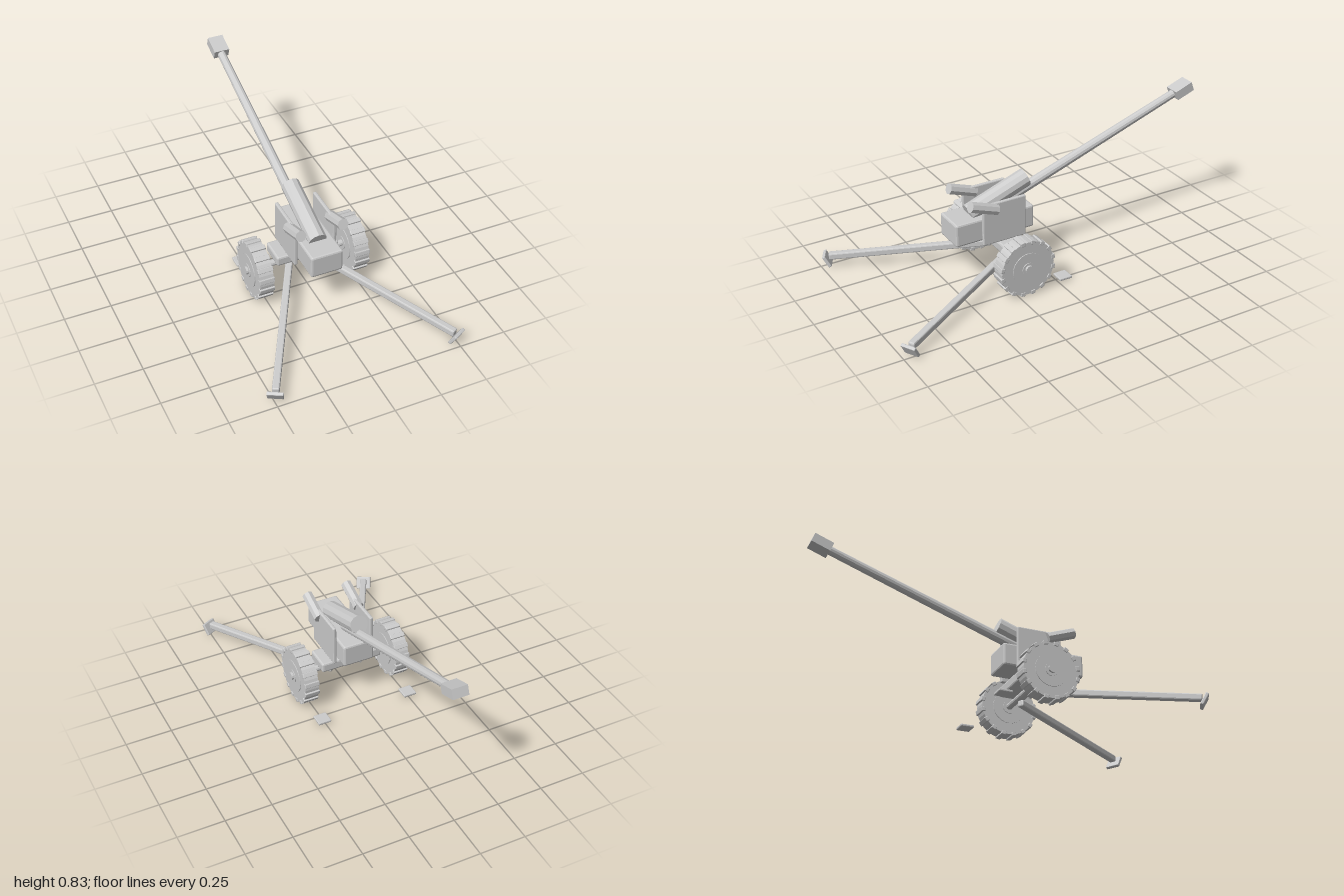
import * as THREE from 'three';
import { RoundedBoxGeometry } from 'three/addons/geometries/RoundedBoxGeometry.js';

const material = new THREE.MeshStandardMaterial({ color: 0xcccccc, flatShading: true });

function add(parent, name, geometry, x = 0, y = 0, z = 0) {
  const mesh = new THREE.Mesh(geometry, material);
  mesh.name = name;
  mesh.position.set(x, y, z);
  parent.add(mesh);
  return mesh;
}

// Box with chamfered edges
const chamferBox = (w, h, d, r) => new RoundedBoxGeometry(w, h, d, 1, r);

// Cylinder lying along x
const axialDisc = (r, length, sides) => new THREE.CylinderGeometry(r, r, length, sides).rotateZ(Math.PI / 2);

// Part whose z axis runs from point a to point b; make(length) returns its geometry
function span(parent, name, a, b, make) {
  const from = new THREE.Vector3(...a), to = new THREE.Vector3(...b);
  const mid = from.clone().lerp(to, 0.5);
  const mesh = add(parent, name, make(from.distanceTo(to)), mid.x, mid.y, mid.z);
  mesh.lookAt(to);
  return mesh;
}

// Cylinder along z, radius r0 at its start and r1 at its end
const tube = (r0, r1, sides) => (length) =>
  new THREE.CylinderGeometry(r1, r0, length, sides).rotateX(Math.PI / 2);

function createWheel(side) {
  const wheel = new THREE.Group();
  wheel.name = side > 0 ? 'leftWheel' : 'rightWheel';
  wheel.position.set(side * 0.27, 0.161, 0.2);
  add(wheel, 'tyre', axialDisc(0.152, 0.078, 32));
  add(wheel, 'rimDisc', axialDisc(0.09, 0.086, 24));
  add(wheel, 'hub', axialDisc(0.036, 0.094, 16));
  // Tread blocks around the rim
  const count = 16;
  for (let i = 0; i < count; i++) {
    const angle = ((i + 0.5) / count) * Math.PI * 2;
    const block = add(wheel, 'treadBlock', chamferBox(0.084, 0.022, 0.026, 0.003),
      0, Math.cos(angle) * 0.149, Math.sin(angle) * 0.149);
    block.rotation.x = angle;
  }
  return wheel;
}

function createTrail(side) {
  const trail = new THREE.Group();
  trail.name = side > 0 ? 'leftTrail' : 'rightTrail';
  span(trail, 'trailLeg', [side * 0.08, 0.129, 0.2], [side * 0.49, 0.06, 0.955],
    (length) => chamferBox(0.037, 0.037, length, 0.007));
  // Spade plate leaning outwards at the end of the leg
  const spade = add(trail, 'spade', chamferBox(0.082, 0.07, 0.018, 0.004), side * 0.495, 0.042, 0.962);
  spade.rotation.set(0.52, side * 0.5, 0, 'YXZ');
  return trail;
}

export function createModel() {
  const model = new THREE.Group();
  model.name = 'fieldGun';

  // Gun: barrel, muzzle brake and recoil housing
  span(model, 'barrel', [0, 0.39, 0.2], [0, 0.77, -0.9], tube(0.028, 0.023, 12));
  span(model, 'muzzleBrake', [0, 0.767, -0.89], [0, 0.804, -0.991],
    (length) => new THREE.BoxGeometry(0.086, 0.052, length));
  span(model, 'recoilHousing', [0, 0.383, 0.373], [0, 0.505, 0.035], tube(0.05, 0.05, 12));
  add(model, 'breechBlock', chamferBox(0.176, 0.125, 0.455, 0.01), 0, 0.318, 0.262);

  // Carriage and axle
  add(model, 'carriage', chamferBox(0.35, 0.055, 0.145, 0.01), 0, 0.212, 0.192);
  add(model, 'axle', axialDisc(0.018, 0.64, 12), 0, 0.163, 0.2);

  for (const side of [1, -1]) {
    model.add(createWheel(side), createTrail(side));
    add(model, 'axleCap', axialDisc(0.022, 0.02, 12), side * 0.319, 0.163, 0.2);
    add(model, 'sidePlate', chamferBox(0.02, 0.23, 0.25, 0.006), side * 0.108, 0.355, 0.225);
    span(model, 'sight', [side * 0.116, 0.432, 0.27], [side * 0.116, 0.487, 0.422], tube(0.03, 0.03, 8));
    // Ground pad behind each wheel
    add(model, 'groundPad', chamferBox(0.073, 0.014, 0.073, 0.004), side * 0.256, 0.018, -0.04);
  }
  return model;
}
